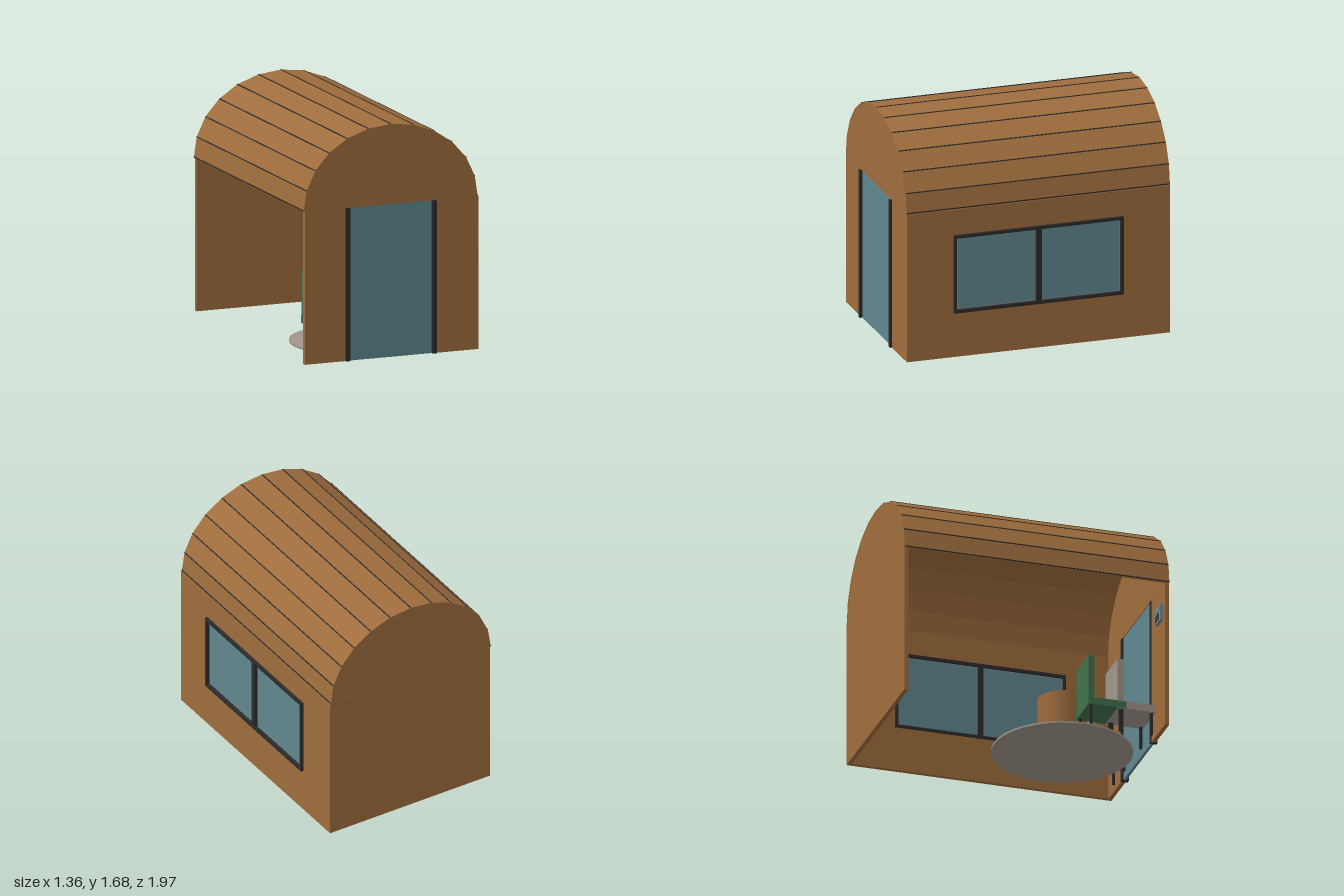
import * as THREE from 'three';

const mat = (name, color, side = THREE.FrontSide) => {
  const m = new THREE.MeshStandardMaterial({ color, side });
  m.name = name;
  return m;
};

export function createModel() {
  const wood = mat('wood', 0x9f6d3d);
  const glass = mat('blueGlass', 0x60878f);
  const dark = mat('darkMetal', 0x2b2b2b);
  const stone = mat('paleFabric', 0xa0968a);
  const green = mat('greenFabric', 0x41704c);
  const grey = mat('panelGrey', 0x7f8c90);

  const root = new THREE.Group();
  root.name = 'cabin';

  const add = (parent, name, geo, m, x = 0, y = 0, z = 0) => {
    const mesh = new THREE.Mesh(geo, m);
    mesh.name = name;
    mesh.position.set(x, y, z);
    parent.add(mesh);
    return mesh;
  };
  // box given by its minimum and maximum on each axis
  const box = (parent, name, m, x0, x1, y0, y1, z0, z1) =>
    add(parent, name, new THREE.BoxGeometry(x1 - x0, y1 - y0, z1 - z0), m,
      (x0 + x1) / 2, (y0 + y1) / 2, (z0 + z1) / 2);

  const BACK = -0.98, FRONT = 0.975, EAVE = 1.1, T = 0.03;

  // back wall and the two front wall pieces beside the door
  box(root, 'backWall', wood, -0.67, 0.66, 0, EAVE, BACK, BACK + T);
  box(root, 'frontWallRight', wood, -0.67, -0.345, 0, EAVE, FRONT - T, FRONT);
  box(root, 'frontWallLeft', wood, 0.315, 0.66, 0, EAVE, FRONT - T, FRONT);

  // glass door with dark posts
  box(root, 'door', glass, -0.345, 0.315, 0, EAVE, FRONT - 0.025, FRONT - 0.005);
  box(root, 'doorPostRight', dark, -0.36, -0.327, 0, EAVE, FRONT - T - 0.005, 0.99);
  box(root, 'doorPostLeft', dark, 0.302, 0.335, 0, EAVE, FRONT - T - 0.005, 0.99);

  // side wall around the window opening (the other side stays open)
  const hole = { y0: 0.34, y1: 0.9, z: 0.62 };
  const side = new THREE.Group();
  side.name = 'sideWall';
  root.add(side);
  box(side, 'wallBelowWindow', wood, 0.63, 0.66, 0, hole.y0, BACK + T, FRONT - T);
  box(side, 'wallAboveWindow', wood, 0.63, 0.66, hole.y1, EAVE, BACK + T, FRONT - T);
  box(side, 'wallBehindWindow', wood, 0.63, 0.66, hole.y0, hole.y1, BACK + T, -hole.z);
  box(side, 'wallBeforeWindow', wood, 0.63, 0.66, hole.y0, hole.y1, hole.z, FRONT - T);

  // two-pane window
  const win = new THREE.Group();
  win.name = 'window';
  root.add(win);
  const fx0 = 0.625, fx1 = 0.68;
  box(win, 'windowSill', dark, fx0, fx1, 0.33, 0.353, -0.63, 0.63);
  box(win, 'windowHead', dark, fx0, fx1, 0.887, 0.91, -0.63, 0.63);
  for (const z of [-0.619, 0, 0.619]) {
    const w = z === 0 ? 0.02 : 0.011;
    box(win, 'windowPost', dark, fx0, fx1, 0.353, 0.887, z - w, z + w);
  }
  for (const s of [-1, 1]) {
    const zc = s * 0.314;
    box(win, 'paneTrim', grey, 0.64, 0.656, 0.353, 0.887, zc - 0.294, zc + 0.294);
    box(win, 'pane', glass, 0.635, 0.66, 0.361, 0.879, zc - 0.286, zc + 0.286);
  }

  // barrel roof of twelve flat planks with dark seams
  const N = 12, CX = -0.012, RX = 0.666, RY = 0.577;
  const arch = (i, k = 0) => {
    const a = Math.PI * i / N;
    return new THREE.Vector2(CX + (RX - k) * Math.cos(a), EAVE + (RY - k) * Math.sin(a));
  };
  const roof = new THREE.Group();
  roof.name = 'roof';
  root.add(roof);
  const length = FRONT - BACK, midZ = (FRONT + BACK) / 2;
  const extrude = (pts, depth) =>
    new THREE.ExtrudeGeometry(new THREE.Shape(pts), { depth, bevelEnabled: false });
  for (let i = 0; i < N; i++) {
    const pts = [arch(i), arch(i + 1), arch(i + 1, 0.015), arch(i, 0.015)];
    add(roof, 'roofPlank', extrude(pts, length), wood, 0, 0, BACK);
  }
  for (let i = 0; i <= N; i++) {
    const p = arch(i, 0.002);
    if (i === 0 || i === N) p.y += 0.007;
    const seam = add(roof, 'roofSeam', new THREE.BoxGeometry(0.008, 0.01, length - 0.004), dark, p.x, p.y, midZ);
    seam.rotation.z = Math.atan2(RX * Math.sin(Math.PI * i / N), RY * Math.cos(Math.PI * i / N)) - Math.PI / 2;
  }

  // arched gables closing both ends
  const outline = [];
  for (let i = 0; i <= N; i++) outline.push(arch(i, 0.014));
  add(roof, 'frontGable', extrude(outline, T), wood, 0, 0, FRONT - T - 0.001);
  add(roof, 'backGable', extrude(outline, T), wood, 0, 0, BACK + 0.001);

  // round rug and drum table
  add(root, 'rug', new THREE.CylinderGeometry(0.5, 0.5, 0.014, 48), stone, 0, 0.007, 0.4);
  add(root, 'table', new THREE.CylinderGeometry(0.175, 0.175, 0.39, 32), wood, 0, 0.209, 0.4);

  // chairs: backrest at the rear, seat reaching towards the door
  const chair = (name, m, x, z) => {
    const g = new THREE.Group();
    g.name = name;
    g.position.set(x, 0, z);
    root.add(g);
    box(g, 'seat', m, -0.145, 0.145, 0.18, 0.235, 0, 0.28);
    box(g, 'backrest', m, -0.14, 0.14, 0.235, 0.56, 0, 0.045);
    for (const lx of [-0.12, 0.12]) for (const lz of [0.025, 0.255])
      box(g, 'leg', dark, lx - 0.009, lx + 0.009, 0.012, 0.18, lz - 0.009, lz + 0.009);
  };
  for (const x of [-0.325, 0.3]) {
    chair('greenChair', green, x, 0.445);
    chair('paleChair', stone, x, 0.66);
  }

  // control panel on the inside of the front wall
  const panel = new THREE.Group();
  panel.name = 'controlPanel';
  panel.position.set(-0.57, 0.89, FRONT - T);
  root.add(panel);
  box(panel, 'panelBody', grey, -0.06, 0.06, -0.06, 0.06, -0.025, 0);
  box(panel, 'panelScreen', glass, -0.048, 0.048, 0.012, 0.048, -0.029, -0.024);
  for (let r = 0; r < 2; r++) for (let c = 0; c < 4; c++) {
    const x = -0.036 + c * 0.024, y = -0.012 - r * 0.026;
    box(panel, 'button', dark, x - 0.008, x + 0.008, y - 0.008, y + 0.008, -0.029, -0.024);
  }

  return root;
}
